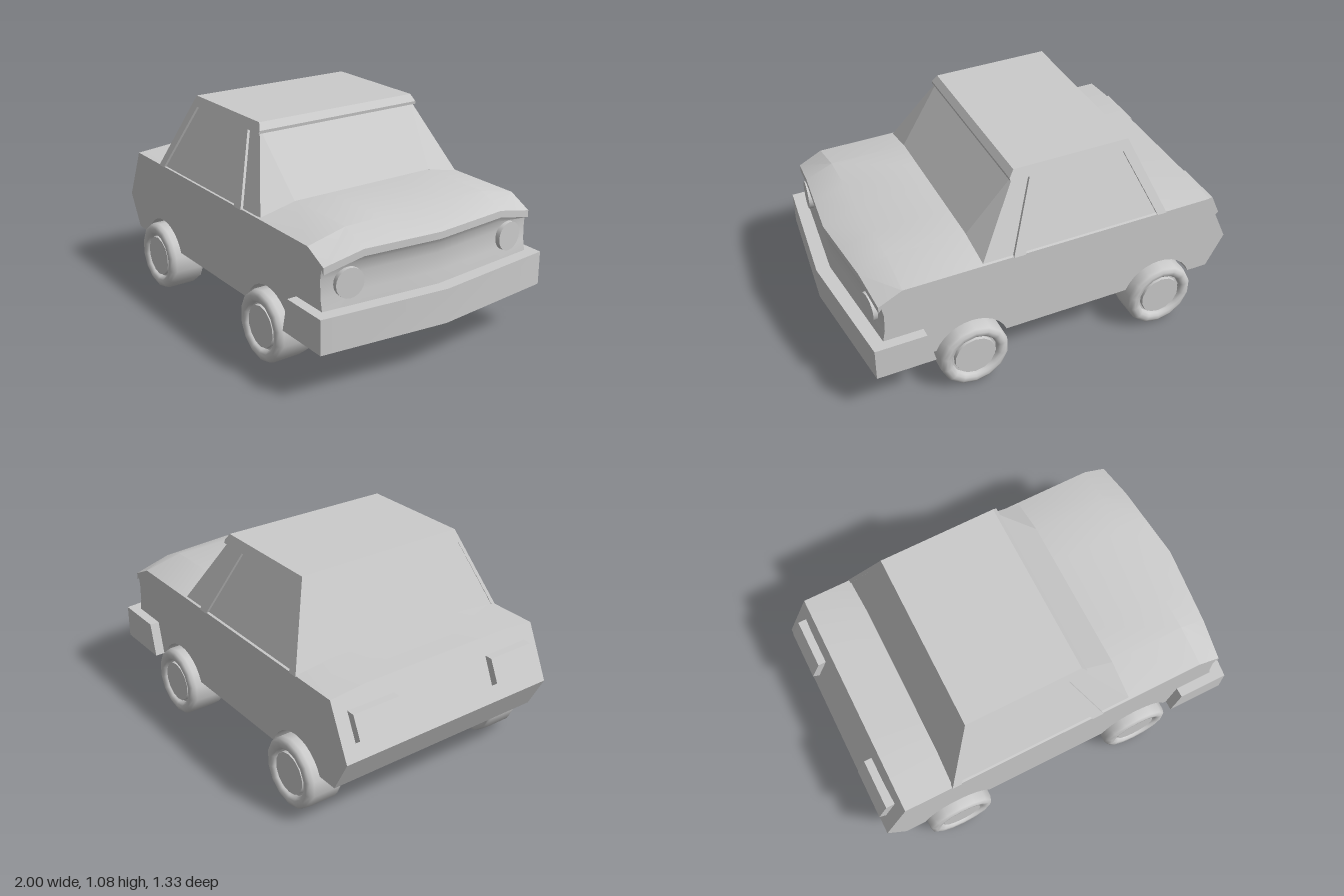
import * as THREE from 'three';
import { toCreasedNormals } from 'three/addons/utils/BufferGeometryUtils.js';
import { ConvexGeometry } from 'three/addons/geometries/ConvexGeometry.js';

const mat = new THREE.MeshStandardMaterial({ color: 0xcccccc });
const clamp = THREE.MathUtils.clamp;
const HALF = 0.61; // half width of the body

function shapeOf(points) {
  return new THREE.Shape(points.map(([x, y]) => new THREE.Vector2(x, y)));
}

// Extrudes a side outline along z, then moves each vertex by a rule
function extrudeSide(points, depth, steps, rule) {
  const g = new THREE.ExtrudeGeometry(shapeOf(points), { depth, steps, bevelEnabled: false });
  const p = g.attributes.position, v = new THREE.Vector3();
  for (let i = 0; i < p.count; i++) {
    v.fromBufferAttribute(p, i);
    rule(v);
    p.setXYZ(i, v.x, v.y, v.z);
  }
  return toCreasedNormals(g, 0.45);
}

// Convex solid from points mirrored across z
function mirroredHull(points) {
  const all = [];
  for (const [x, y, z] of points) all.push(new THREE.Vector3(x, y, z), new THREE.Vector3(x, y, -z));
  return new ConvexGeometry(all);
}

export function createModel() {
  const car = new THREE.Group();
  car.name = 'car';
  const add = (name, geometry, parent = car) => {
    const m = new THREE.Mesh(geometry, mat);
    m.name = name;
    parent.add(m);
    return m;
  };

  // Lower body: side outline with wheel arches, crowned bonnet and bowed nose
  const axles = [-0.615, 0.425], wheelY = 0.18, floor = 0.25;
  const outline = [[-0.91, floor]];
  for (const ax of axles) {
    const r = 0.198, a0 = Math.asin((floor - wheelY) / r);
    for (let i = 0; i <= 12; i++) {
      const a = Math.PI - a0 - (i / 12) * (Math.PI - 2 * a0);
      outline.push([ax + r * Math.cos(a), wheelY + r * Math.sin(a)]);
    }
  }
  outline.push([0.93, floor], [0.93, 0.42], [0.918, 0.48], [0.916, 0.57], [0.925, 0.62], [0.94, 0.645],
    [0.94, 0.68], [0.76, 0.74], [0.36, 0.74], [-0.62, 0.71], [-0.875, 0.71], [-1, 0.42]);
  add('body', extrudeSide(outline, HALF * 2, 6, (v) => {
    v.z -= HALF;
    const edge = clamp((Math.abs(v.z) - 0.41) / 0.2, 0, 1);
    if (v.y > 0.63) v.y -= edge * (v.x > 0.3 ? 0.047 : 0.018);
    if (v.x > 0.85) v.x -= 0.06 * Math.abs(v.z) / HALF;
  }));

  // Glass core of the cabin: side windows, windscreen and rear window
  const sideZ = (y) => HALF - 0.395 * (y - 0.7);
  const inset = 0.014;
  add('cabinGlass', mirroredHull([
    [-0.62, 0.69, sideZ(0.69) - inset], [-0.476, 1.05, sideZ(1.05) - inset],
    [0.36, 0.69, sideZ(0.69) - inset], [0.362, 0.74, 0.41],
    [0.15, 1.03, sideZ(1.03) - inset], [0.14, 1.05, sideZ(1.05) - inset],
  ]));

  // Roof with a small lip over the windscreen
  add('roof', mirroredHull([
    [-0.465, 1.08, sideZ(1.08)], [0.14, 1.08, sideZ(1.08)], [0.165, 1.045, sideZ(1.045)],
    [0.163, 1.03, sideZ(1.03)], [-0.4855, 1.03, sideZ(1.03)],
  ]));

  // Side frames with rear and centre pillars, leaning with the cabin wall
  const frame = [[-0.624, 0.69], [-0.465, 1.08], [0.14, 1.08], [0.165, 1.045], [0.163, 1.03], [0.065, 1.03],
    [0.205, 0.69], [0.145, 0.69], [0.005, 1.03], [-0.43, 1.03], [-0.575, 0.69]];
  const t = 0.02;
  for (const s of [1, -1]) {
    add(s > 0 ? 'leftWindowFrame' : 'rightWindowFrame', extrudeSide(frame, t, 1, (v) => {
      v.z += s > 0 ? sideZ(v.y) - t : -sideZ(v.y);
    }));
  }

  // Wrap-around front bumper with a shallow point in the middle
  const bw = 0.66;
  add('frontBumper', extrudeSide([[0.63, 0.247], [1, 0.247], [1, 0.42], [0.67, 0.42]], bw * 2, 2, (v) => {
    v.z -= bw;
    if (v.x > 0.9) v.x -= 0.07 * Math.abs(v.z) / bw;
  }));

  // Headlights and tail lights
  for (const s of [1, -1]) {
    const side = s > 0 ? 'left' : 'right';
    const lamp = add(side + 'Headlight', toCreasedNormals(new THREE.CylinderGeometry(0.073, 0.073, 0.06, 20), 0.6));
    lamp.rotation.set(0, -s * 0.1, -Math.PI / 2, 'YXZ');
    lamp.position.set(0.865, 0.533, s * 0.473);
    add(side + 'TailLight', extrudeSide(
      [[-0.89, 0.63], [-0.95, 0.63], [-1, 0.52], [-0.965, 0.49]], 0.26, 1,
      (v) => { v.z += s * 0.41 - 0.13; }));
  }

  // Wheels: turned tyre with rounded shoulder, and a recessed hub disc
  const tyre = [[0, -0.1], [0.155, -0.1], [0.173, -0.092], [0.18, -0.075], [0.18, 0.07], [0.173, 0.09],
    [0.155, 0.1], [0.135, 0.098], [0.123, 0.088], [0.118, 0.07], [0, 0.07]]
    .map(([r, y]) => new THREE.Vector2(r, y));
  const tyreGeo = toCreasedNormals(new THREE.LatheGeometry(tyre, 14), 0.8);
  const hubGeo = toCreasedNormals(new THREE.CylinderGeometry(0.106, 0.11, 0.03, 14), 0.8);
  axles.forEach((ax, i) => {
    for (const s of [1, -1]) {
      const wheel = new THREE.Group();
      wheel.name = (i ? 'front' : 'rear') + (s > 0 ? 'Left' : 'Right') + 'Wheel';
      add('tyre', tyreGeo, wheel);
      add('hub', hubGeo, wheel).position.y = 0.073;
      wheel.rotation.x = s * Math.PI / 2;
      wheel.position.set(ax, wheelY, s * 0.564);
      car.add(wheel);
    }
  });

  return car;
}
